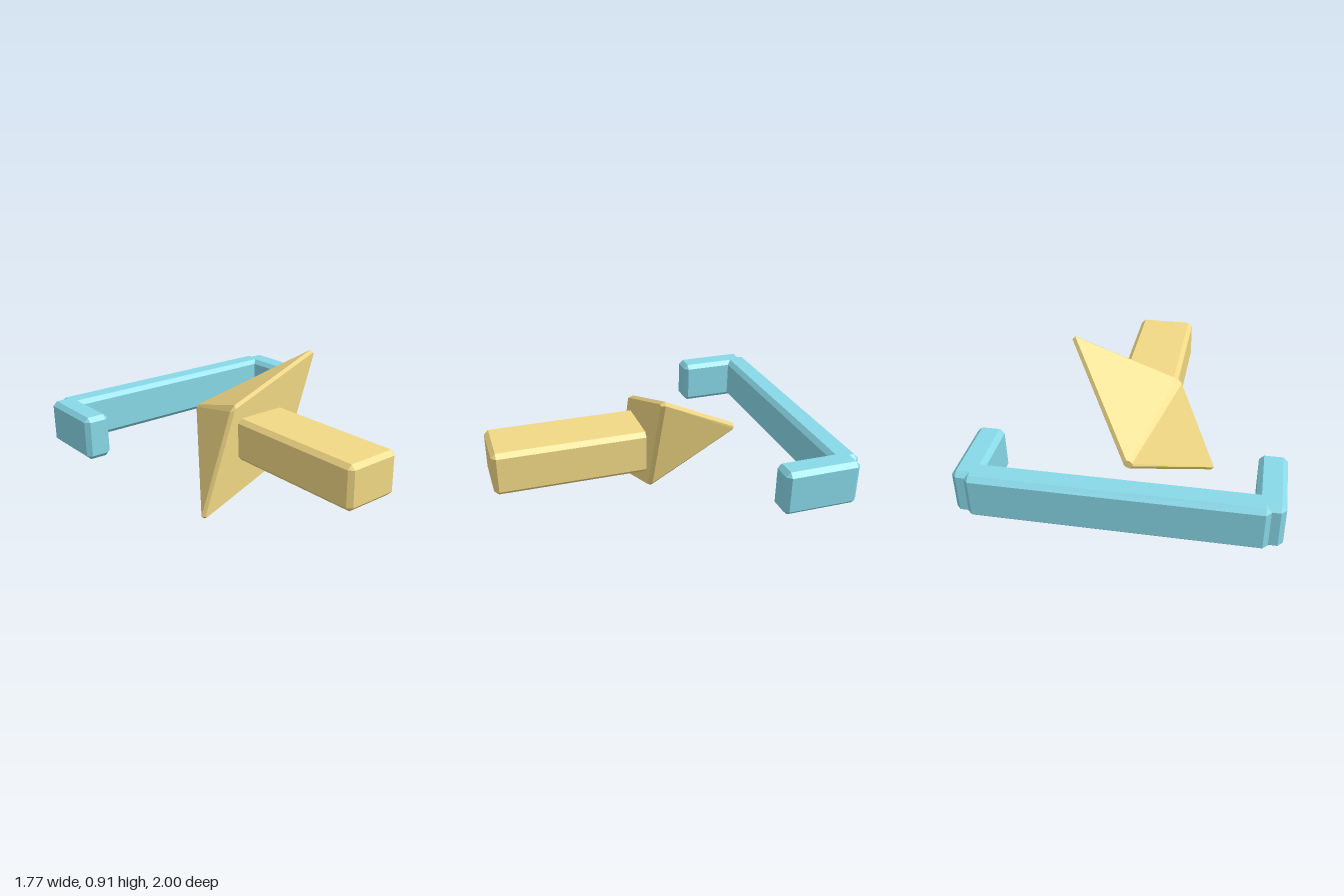
import * as THREE from 'three';
import { ConvexGeometry } from 'three/addons/geometries/ConvexGeometry.js';

const BEVEL = 0.027;
const MID_Y = 0.464;

// Box with chamfered edges: the hull of its six inset faces
function chamferBox(min, max, b = BEVEL) {
  const c = min.map((v, i) => (v + max[i]) / 2);
  const h = max.map((v, i) => (v - min[i]) / 2);
  const points = [];
  for (const sx of [-1, 1]) for (const sy of [-1, 1]) for (const sz of [-1, 1]) {
    for (let full = 0; full < 3; full++) {
      const p = [sx, sy, sz].map((s, i) => c[i] + s * (h[i] - (i === full ? 0 : b)));
      points.push(new THREE.Vector3(...p));
    }
  }
  return new ConvexGeometry(points);
}

// Four corners, each cut by a small bevel; half is listed, half is its point reflection
function ring(half, z) {
  return half.flatMap(([x, y]) => [
    new THREE.Vector3(x, MID_Y + y, z),
    new THREE.Vector3(-x, MID_Y - y, z),
  ]);
}

export function createModel() {
  const model = new THREE.Group();
  const yellow = new THREE.MeshStandardMaterial({ color: 0xf2d985, flatShading: true });
  const blue = new THREE.MeshStandardMaterial({ color: 0x88d9e8, flatShading: true });

  const add = (name, geometry, material, parent) => {
    const mesh = new THREE.Mesh(geometry, material);
    mesh.name = name;
    parent.add(mesh);
  };

  // Arrow: square shaft and skewed diamond head tapering to the back
  const arrow = new THREE.Group();
  arrow.name = 'arrow';
  model.add(arrow);
  add('arrowShaft', chamferBox([-0.183, 0.328, -0.02], [0.183, 0.6, 1]), yellow, arrow);
  const head = [
    ...ring([[0.435, 0.442], [0.443, 0.434], [-0.2, 0.205], [-0.208, 0.195]], 0.075),
    ...ring([[0.437, 0.456], [0.456, 0.437], [-0.19, 0.222], [-0.225, 0.187]], 0.05),
    ...ring([[0.01, 0.028], [0.028, 0.01], [-0.01, 0.022], [-0.024, 0.008]], -0.565),
  ];
  add('arrowHead', new ConvexGeometry(head), yellow, arrow);

  // Bracket: back bar with an arm at each end
  const bracket = new THREE.Group();
  bracket.name = 'bracket';
  model.add(bracket);
  add('backBar', chamferBox([-0.81, 0.328, -1], [0.81, 0.6, -0.843]), blue, bracket);
  for (const [name, s] of [['leftArm', 1], ['rightArm', -1]]) {
    const xs = [s * 0.728, s * 0.886].sort((a, b) => a - b);
    add(name, chamferBox([xs[0], 0.328, -0.968], [xs[1], 0.6, -0.508]), blue, bracket);
  }
  return model;
}
